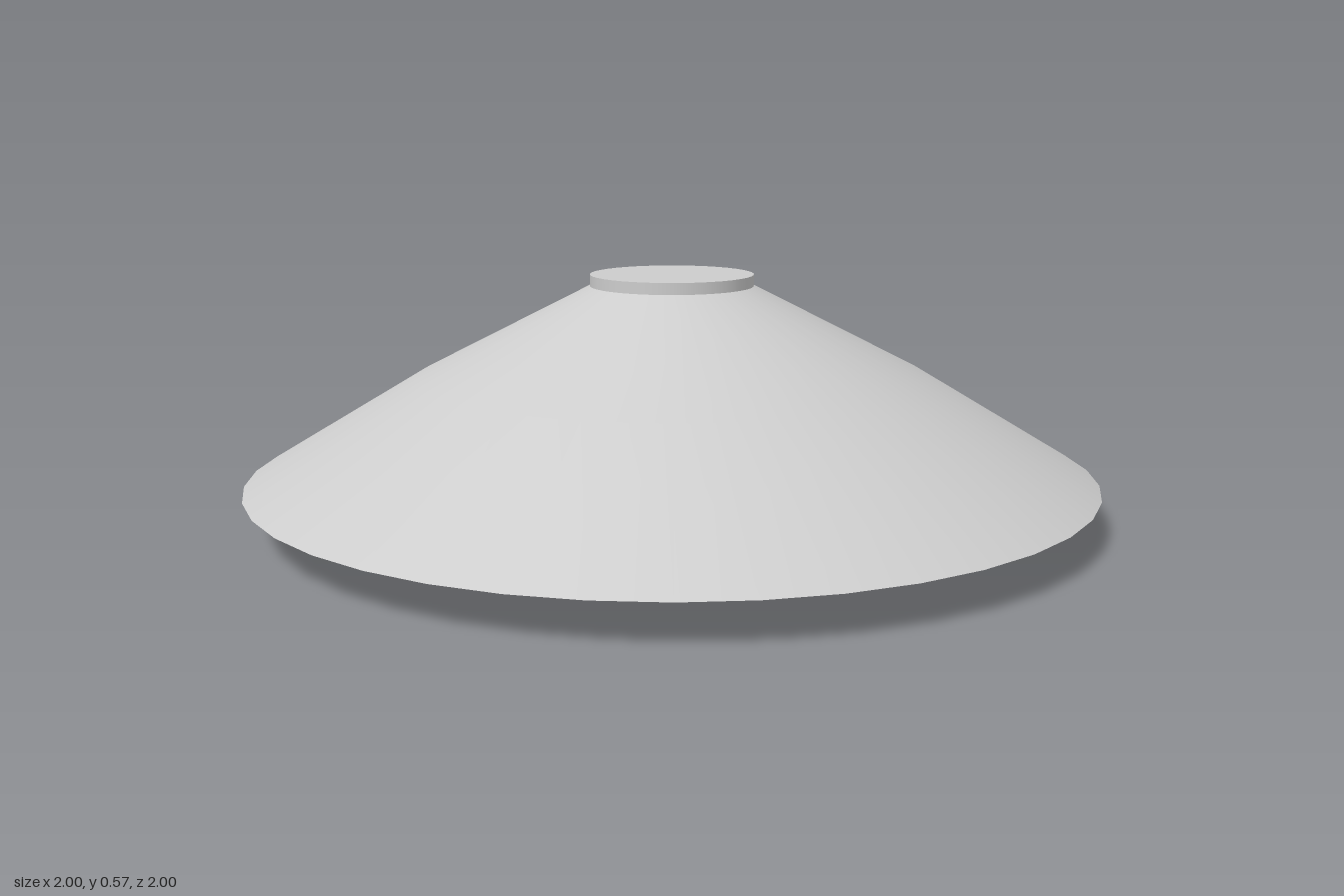
import * as THREE from 'three';

const SEGMENTS = 40;

export function createModel() {
  const lamp = new THREE.Group();
  lamp.name = 'ceilingLamp';
  const grey = new THREE.MeshStandardMaterial({ color: 0xcccccc, side: THREE.DoubleSide });
  grey.name = 'lightGrey';

  const add = (name, geometry) => {
    const mesh = new THREE.Mesh(geometry, grey);
    mesh.name = name;
    lamp.add(mesh);
    return mesh;
  };
  // Turned part from [radius, height] pairs, listed bottom to top
  const turned = (points, segments = SEGMENTS) =>
    new THREE.LatheGeometry(points.map(([r, y]) => new THREE.Vector2(r, y)), segments);

  // Thin conical shade, open below
  add('shade', turned([[1, 0.095], [0.6, 0.335], [0.193, 0.543]]));

  // Shallow cap, hollow underneath
  add('capRim', turned([[0.193, 0.543], [0.193, 0.57]]));
  const capTop = add('capTop', new THREE.CircleGeometry(0.193, SEGMENTS));
  capTop.rotation.x = -Math.PI / 2;
  capTop.position.y = 0.57;

  // Pear-shaped bulb: round lower part, then a tapering neck
  const bulbProfile = [];
  for (let i = 0; i <= 8; i++) {
    const a = (i / 8) * Math.PI * 0.55;
    bulbProfile.push([0.19 * Math.sin(a), 0.19 - 0.19 * Math.cos(a)]);
  }
  bulbProfile.push([0.172, 0.28], [0.145, 0.35], [0.115, 0.42], [0.1, 0.48], [0.085, 0.515], [0.056, 0.53]);
  add('bulb', turned(bulbProfile, 24));

  // Narrow collar joining the bulb to the cap
  add('bulbCollar', turned([[0.056, 0.53], [0.056, 0.57]], 24));

  return lamp;
}
